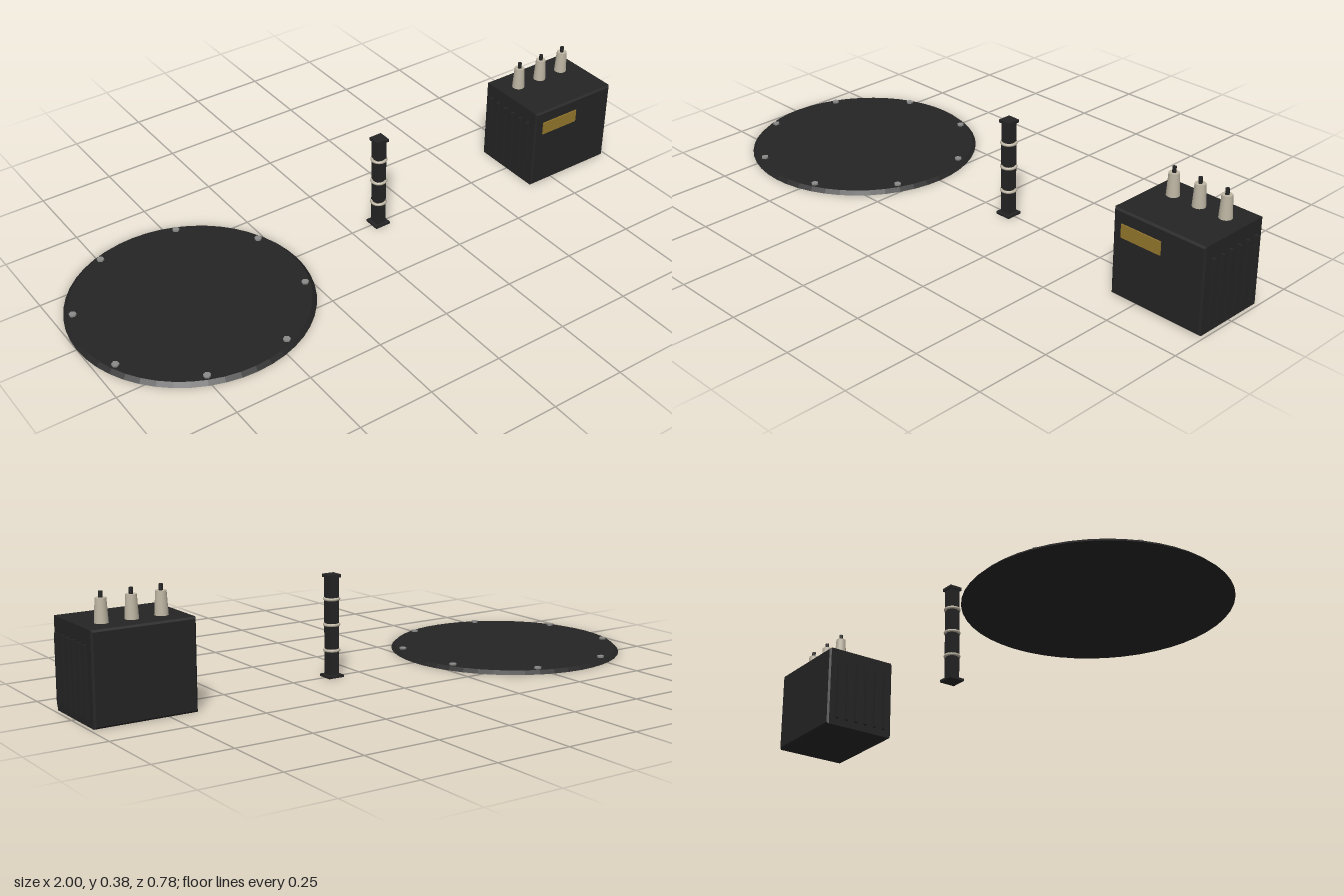
import * as THREE from 'three';

const material = (name, color, extra = {}) => {
  const m = new THREE.MeshStandardMaterial({ color, ...extra });
  m.name = name;
  return m;
};

export function createModel() {
  const dark = material('dark steel', 0x242424);
  const metal = material('bolt grey', 0x8a8a88);
  const ceramic = material('ceramic', 0xbdb5a3);
  const brass = material('brass plate', 0x94772c);

  const model = new THREE.Group();
  const add = (parent, name, geometry, mat, x, y, z) => {
    const mesh = new THREE.Mesh(geometry, mat);
    mesh.name = name;
    mesh.position.set(x, y, z);
    parent.add(mesh);
    return mesh;
  };
  const group = (name, x) => {
    const g = new THREE.Group();
    g.name = name;
    g.position.x = x;
    model.add(g);
    return g;
  };

  // Round cover with a bevelled rim and eight bolts
  const cover = group('roundCover', -0.61);
  const disc = new THREE.CylinderGeometry(0.377, 0.39, 0.012, 48).toNonIndexed();
  disc.computeVertexNormals();
  add(cover, 'coverPlate', disc, dark, 0, 0.006, 0);
  for (let i = 0; i < 8; i++) {
    const a = ((i + 0.5) / 8) * Math.PI * 2;
    add(cover, 'coverBolt', new THREE.CylinderGeometry(0.012, 0.012, 0.008, 6), metal,
      Math.cos(a) * 0.36, 0.014, Math.sin(a) * 0.36);
  }

  // Square post with foot, cap and three insulating rings
  const post = group('post', 0.105);
  add(post, 'postFoot', new THREE.BoxGeometry(0.055, 0.008, 0.055), dark, 0, 0.004, 0);
  add(post, 'postShaft', new THREE.BoxGeometry(0.034, 0.32, 0.034), dark, 0, 0.165, 0);
  add(post, 'postCap', new THREE.BoxGeometry(0.044, 0.01, 0.044), dark, 0, 0.328, 0);
  for (const y of [0.088, 0.171, 0.254]) {
    const ring = new THREE.TorusGeometry(0.023, 0.005, 8, 20).rotateX(Math.PI / 2);
    add(post, 'postRing', ring, ceramic, 0, y, 0);
  }

  // Transformer tank with chamfered edges
  const tank = group('transformer', 0.8225);
  const w = 0.33, h = 0.285, d = 0.26, c = 0.006;
  const outline = new THREE.Shape();
  outline.moveTo(-w / 2 + c, c);
  outline.lineTo(w / 2 - c, c);
  outline.lineTo(w / 2 - c, h - c);
  outline.lineTo(-w / 2 + c, h - c);
  outline.closePath();
  const body = new THREE.ExtrudeGeometry(outline, {
    depth: d - 2 * c, bevelEnabled: true, bevelSize: c, bevelThickness: c, bevelSegments: 1,
  });
  add(tank, 'tankBody', body, dark, 0, 0, -d / 2 + c);

  // Cooling fins on both sides
  for (const side of [-1, 1]) {
    for (let i = 0; i < 6; i++) {
      add(tank, 'coolingFin', new THREE.BoxGeometry(0.0125, 0.215, 0.009), dark,
        side * (w / 2 + 0.00625), 0.1325, (i - 2.5) * 0.038);
    }
  }

  // Name plate
  add(tank, 'namePlate', new THREE.BoxGeometry(0.145, 0.044, 0.005), brass, -0.0605, 0.221, d / 2 + 0.0015);

  // Tapered bushings with terminals
  for (const x of [-0.095, 0, 0.095]) {
    add(tank, 'bushing', new THREE.CylinderGeometry(0.0165, 0.021, 0.073, 16), ceramic, x, h + 0.0365, -0.047);
    add(tank, 'terminal', new THREE.CylinderGeometry(0.0065, 0.0065, 0.02, 10), dark, x, h + 0.082, -0.047);
  }
  return model;
}
